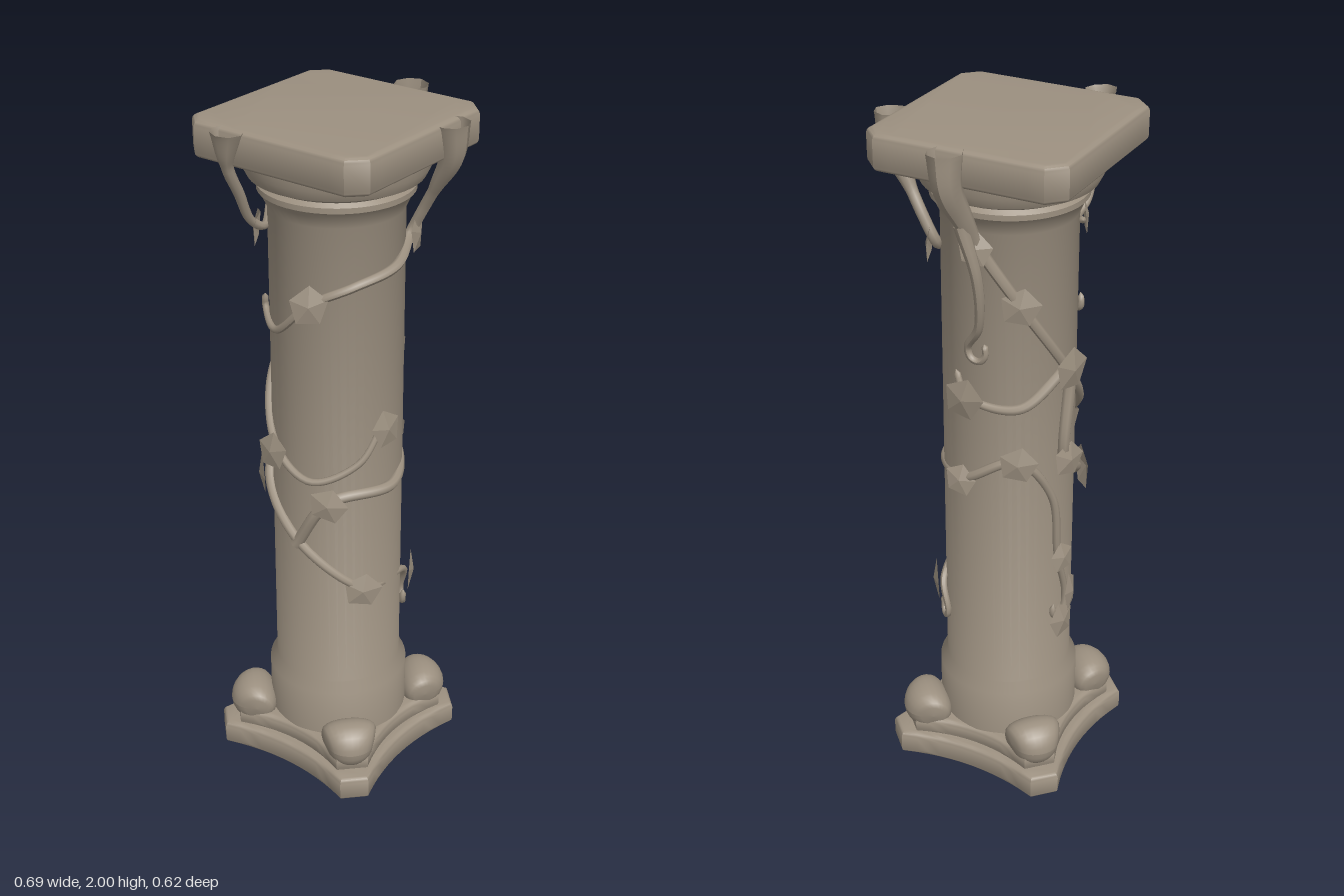
import * as THREE from 'three';
import { toCreasedNormals } from 'three/addons/utils/BufferGeometryUtils.js';

const stone = new THREE.MeshStandardMaterial({ color: 0x9c9080 });
const thin = new THREE.MeshStandardMaterial({ color: 0x9c9080, side: THREE.DoubleSide });
const rad = THREE.MathUtils.degToRad;

// Point around the column: angle in degrees (0 = front, 90 = +x), height, radius
function around(deg, y, r = 0.195) {
  return new THREE.Vector3(r * Math.sin(rad(deg)), y, r * Math.cos(rad(deg)));
}

function add(group, name, geometry, material = stone) {
  const mesh = new THREE.Mesh(geometry, material);
  mesh.name = name;
  group.add(mesh);
  return mesh;
}

// Square slab with cut corners; sag pulls the middle of each side inwards
function slab(half, cut, sag, y0, y1) {
  const bevel = 0.018, h = half - bevel, c = h - cut, s = h - 2 * sag;
  const shape = new THREE.Shape();
  for (let i = 0; i < 4; i++) {
    const turn = (x, y) => new THREE.Vector2(x, y).rotateAround(new THREE.Vector2(), i * Math.PI / 2);
    const a = turn(-c, -h), m = turn(0, -s), b = turn(c, -h);
    if (i === 0) shape.moveTo(a.x, a.y);
    else shape.lineTo(a.x, a.y);
    shape.quadraticCurveTo(m.x, m.y, b.x, b.y);
  }
  shape.closePath();
  const geo = new THREE.ExtrudeGeometry(shape, {
    depth: y1 - y0 - 2 * bevel, bevelSize: bevel, bevelThickness: bevel, bevelSegments: 4,
  });
  geo.rotateX(-Math.PI / 2).translate(0, y0 + bevel, 0);
  return toCreasedNormals(geo, 0.6);
}

// Barrel-like scroll lying across a corner, narrowing outwards and downwards
function scroll() {
  const profile = [];
  for (let i = 0; i <= 12; i++) {
    const t = -Math.PI / 2 + (Math.PI * i) / 12;
    profile.push(new THREE.Vector2(0.07 * Math.sqrt(Math.max(0, Math.cos(t))), 0.09 * Math.sin(t)));
  }
  const geo = new THREE.LatheGeometry(profile, 24);
  geo.rotateZ(-Math.PI / 2);
  const p = geo.attributes.position;
  for (let i = 0; i < p.count; i++) {
    const out = (p.getZ(i) - 0.6 * p.getY(i)) / 0.08;
    p.setX(i, p.getX(i) * (0.82 - 0.24 * out));
  }
  geo.computeVertexNormals();
  return geo;
}

// Start of a vine that hangs over the edge of the top slab
function drape(deg, turn, reach) {
  return [0, 1, 2, 3].map((i) => [
    deg + (turn * i * i) / 9, 2 - 0.09 * i, reach - (i > 1 ? 0.04 * (i - 1) : 0),
  ]);
}

// Hooked tip of a hanging vine
function curl(deg, y, side) {
  return [0, 1, 2, 3, 4].map((i) => {
    const t = i * 0.3 * Math.PI;
    return [deg + side * 8 * (1 - Math.cos(t)), y - 0.035 * Math.sin(t)];
  });
}

// Tapering tube through points given as [angle, height, radius]
function vine(points, thick) {
  const curve = new THREE.CatmullRomCurve3(points.map((p) => around(...p)), false, 'centripetal');
  const n = points.length * 8, sides = 8;
  const geo = new THREE.TubeGeometry(curve, n, 1, sides);
  const p = geo.attributes.position, v = new THREE.Vector3();
  for (let i = 0; i <= n; i++) {
    const t = i / n, c = curve.getPointAt(t);
    const r = i === n ? 0 : 0.018 - 0.009 * t + (thick - 0.018) * Math.max(0, 1 - t * 5);
    for (let j = 0; j <= sides; j++) {
      const k = i * (sides + 1) + j;
      v.fromBufferAttribute(p, k).sub(c).multiplyScalar(r).add(c);
      p.setXYZ(k, v.x, Math.min(v.y, 2), v.z);
    }
  }
  geo.computeVertexNormals();
  return geo;
}

// Five-sided leaf, slightly cupped
function leafGeometry() {
  const geo = new THREE.CircleGeometry(1, 5);
  geo.attributes.position.setZ(0, 0.2);
  const flat = geo.toNonIndexed();
  flat.computeVertexNormals();
  return flat;
}

export function createModel() {
  const model = new THREE.Group();
  model.name = 'vineColumn';
  const body = new THREE.Group();
  body.name = 'column';
  body.position.set(0.005, 0, -0.027);
  model.add(body);

  // Base
  add(body, 'plinth', slab(0.28, 0.045, 0.035, 0, 0.08));
  add(body, 'upperPlinth', slab(0.25, 0.05, 0.035, 0.07, 0.13));
  for (let a = 45; a < 360; a += 90) {
    const s = add(body, 'cornerScroll', scroll());
    s.position.copy(around(a, 0.145, 0.262));
    s.rotation.y = rad(a);
  }

  // Shaft with foot, neck ring and round capital
  const profile = [[0, 0.07], [0.207, 0.07], [0.207, 0.28], [0.186, 0.312], [0.184, 1.75],
    [0.2, 1.785], [0.212, 1.8], [0.212, 1.815], [0.2, 1.825], [0.236, 1.842], [0.25, 1.87],
    [0.25, 1.905], [0, 1.905]].map(([r, y]) => new THREE.Vector2(r, y));
  add(body, 'shaft', toCreasedNormals(new THREE.LatheGeometry(profile, 48), 0.6));
  add(body, 'topSlab', slab(0.283, 0.035, 0, 1.9, 2));

  // A vine with leaves at some of its points
  const leafGeo = leafGeometry();
  function grow(points, thick, leaves) {
    add(body, 'vine', vine(points, thick), thin);
    for (const k of leaves) {
      const [deg, y, r = 0.195] = points[k];
      const size = 0.05 + 0.009 * (k % 3);
      const leaf = add(body, 'leaf', leafGeo, thin);
      leaf.position.copy(around(deg, y, r + 0.018));
      leaf.scale.set(size * 0.9, size, size);
      leaf.rotation.order = 'YXZ';
      leaf.rotation.set(0.12 * (k % 3) - 0.2, rad(deg) + 0.2 * ((k % 4) - 1.5), k * 1.3);
    }
  }

  // Over the front edge, then round to the back
  grow([...drape(20, 15, 0.305), [37, 1.665], [0, 1.62], [-40, 1.59], [-73, 1.54],
    [-110, 1.43], [-145, 1.45], [-143, 1.49]], 0.048, [4, 7]);
  // Over the +x edge, round the back to the front
  grow([...drape(86, 10, 0.303), [125, 1.56], [169, 1.34], [205, 1.19], [249, 1.06],
    [285, 1], [325, 1.06], [346, 1.16]], 0.048, [3, 4, 5, 7, 10]);
  // Over the -x edge
  grow([...drape(-112, -13, 0.315), [-132, 1.7], [-165, 1.73]], 0.045, [4]);
  // Hanging hook on the +x side
  grow([[90, 1.8, 0.265], [98, 1.65, 0.25], [96, 1.5, 0.22], ...curl(83, 1.42, 1)], 0.02, []);
  // Side shoot
  grow([[169, 1.34], [125, 1.25], [82, 1.27], [70, 1.34]], 0.016, [2]);
  // Front band, then hanging down the back
  grow([[-90, 0.78], [-60, 0.94], [0, 0.96], [78, 1.01], [124, 1.085], [155, 0.95],
    [163, 0.74], [174, 0.6], ...curl(174, 0.55, -1)], 0.018, [1, 3, 4, 6, 7, 10]);
  // From the back down to the lower front hook
  grow([[175, 1.3], [168, 1.06], [218, 0.93], [270, 0.8], [327, 0.65], [398, 0.59],
    ...curl(411, 0.5, -1)], 0.018, [1, 2, 4, 5]);
  return model;
}
